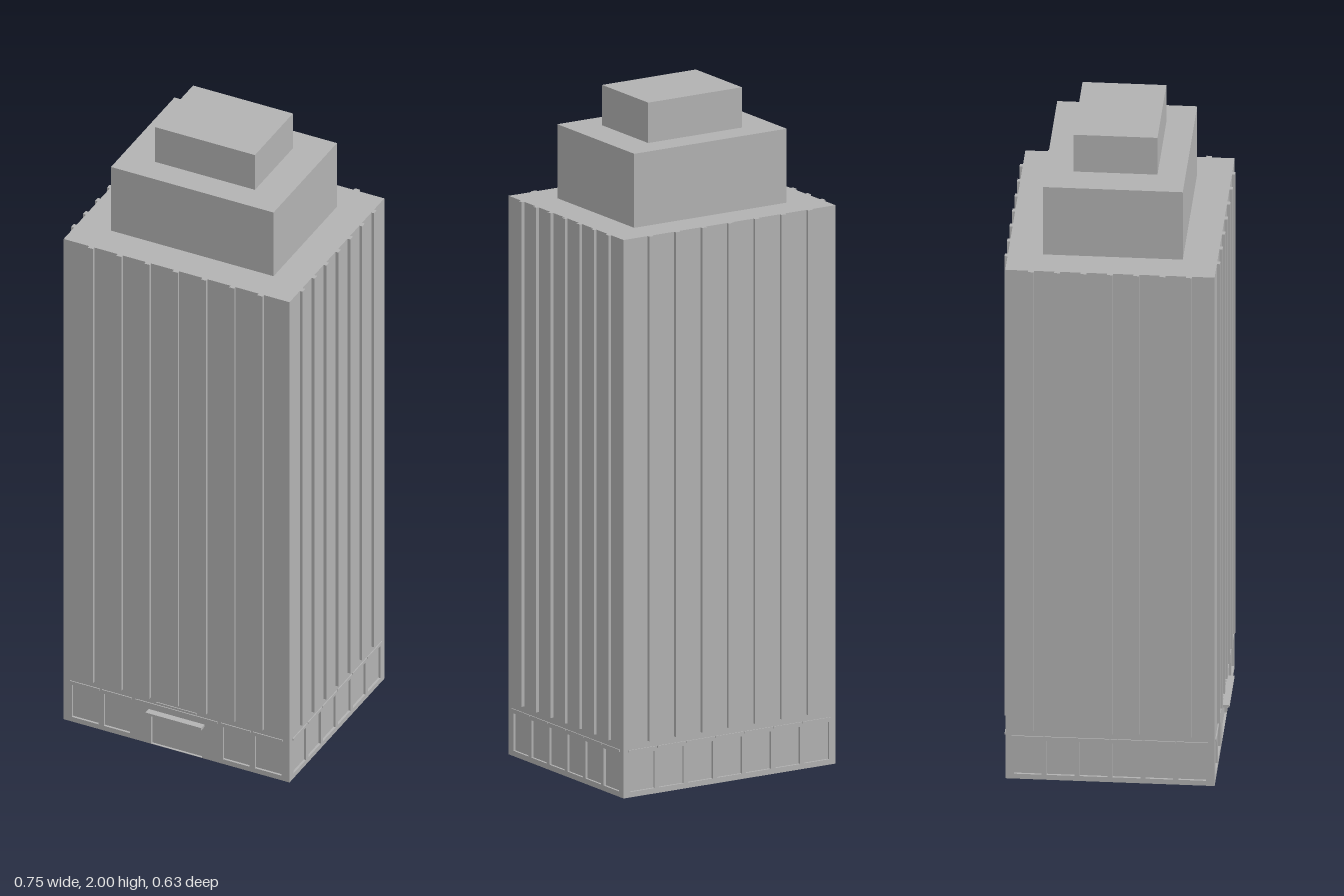
import * as THREE from 'three';

const HX = 0.364, HZ = 0.302;       // half width and half depth of the shaft
const BASE = 0.16, ROOF = 1.66;     // shaft starts / ends
const WALL = 0.008;

export function createModel() {
  const stone = new THREE.MeshStandardMaterial({ color: 0xb2b2b2, side: THREE.DoubleSide });
  stone.name = 'grey stone';
  const model = new THREE.Group();
  model.name = 'tower';
  const building = new THREE.Group();
  building.name = 'building';
  building.position.z = -0.008;
  model.add(building);

  function add(parent, name, geometry, x = 0, y = 0, z = 0) {
    const mesh = new THREE.Mesh(geometry, stone);
    mesh.name = name;
    mesh.position.set(x, y, z);
    parent.add(mesh);
    return mesh;
  }
  const box = (parent, name, w, h, d, x, y, z) =>
    add(parent, name, new THREE.BoxGeometry(w, h, d), x, y, z);

  function rectangle(Type, x0, x1, y0, y1) {
    const p = new Type();
    p.moveTo(x0, y0);
    p.lineTo(x1, y0);
    p.lineTo(x1, y1);
    p.lineTo(x0, y1);
    p.closePath();
    return p;
  }

  // Hollow shaft, open underneath
  const shaft = new THREE.BoxGeometry(HX * 2, ROOF - BASE, HZ * 2);
  shaft.setIndex(Array.from(shaft.index.array).filter((_, i) => i < 18 || i >= 24));
  shaft.clearGroups();
  add(building, 'shaft', shaft, 0, (BASE + ROOF) / 2, 0);

  // Stepped crown
  box(building, 'lowerCrown', 0.524, 0.22, 0.404, 0, 1.77, 0);
  box(building, 'upperCrown', 0.322, 0.12, 0.242, 0, 1.94, 0);

  // One side: ground-floor wall with recessed windows, ledges and full-height ribs
  function side({ name, angle, half, distance, ribPitch, windows, windowWidth, inset = 0, door = false }) {
    const group = new THREE.Group();
    group.name = name;
    group.rotation.y = angle;
    building.add(group);

    const w = half - inset;
    const shape = rectangle(THREE.Shape, -w, w, 0, BASE);
    for (const x of windows) {
      const h = windowWidth / 2;
      shape.holes.push(rectangle(THREE.Path, x - h, x + h, 0.016, 0.127));
      box(group, 'windowPane', windowWidth, 0.111, 0.001, x, 0.0715, distance - WALL + 0.0005);
      box(group, 'windowLedge', windowWidth + 0.012, 0.006, 0.004, x, 0.138, distance + 0.001);
    }
    if (door) {
      shape.holes.push(rectangle(THREE.Path, -0.082, 0.082, 0.001, 0.112));
      box(group, 'doorPanel', 0.164, 0.112, 0.001, 0, 0.056, distance - WALL + 0.0005);
      box(group, 'canopy', 0.18, 0.008, 0.03, 0, 0.114, distance + 0.006);
      box(group, 'doorLedge', 0.265, 0.006, 0.004, 0, 0.138, distance + 0.001);
      box(group, 'doorCrest', 0.13, 0.006, 0.004, 0, 0.147, distance + 0.001);
    }
    const wall = new THREE.ExtrudeGeometry(shape, { depth: WALL, bevelEnabled: false });
    add(group, 'groundFloorWall', wall, 0, 0, distance - WALL);

    for (let i = -3; i <= 3; i++) {
      box(group, 'rib', 0.017, ROOF - BASE, 0.009, i * ribPitch, (BASE + ROOF) / 2, distance + 0.0045);
    }
  }

  const row = (count, pitch) => Array.from({ length: count }, (_, i) => (i - (count - 1) / 2) * pitch);
  const wide = { half: HX, distance: HZ, ribPitch: 0.091, windowWidth: 0.085 };
  const narrow = { half: HZ, distance: HX, ribPitch: 0.076, windowWidth: 0.08, inset: WALL, windows: row(6, 0.095) };
  side({ ...wide, name: 'frontSide', angle: 0, windows: [-0.295, -0.192, 0.192, 0.295], door: true });
  side({ ...wide, name: 'backSide', angle: Math.PI, windows: row(7, 0.1) });
  side({ ...narrow, name: 'leftSide', angle: Math.PI / 2 });
  side({ ...narrow, name: 'rightSide', angle: -Math.PI / 2 });

  return model;
}
